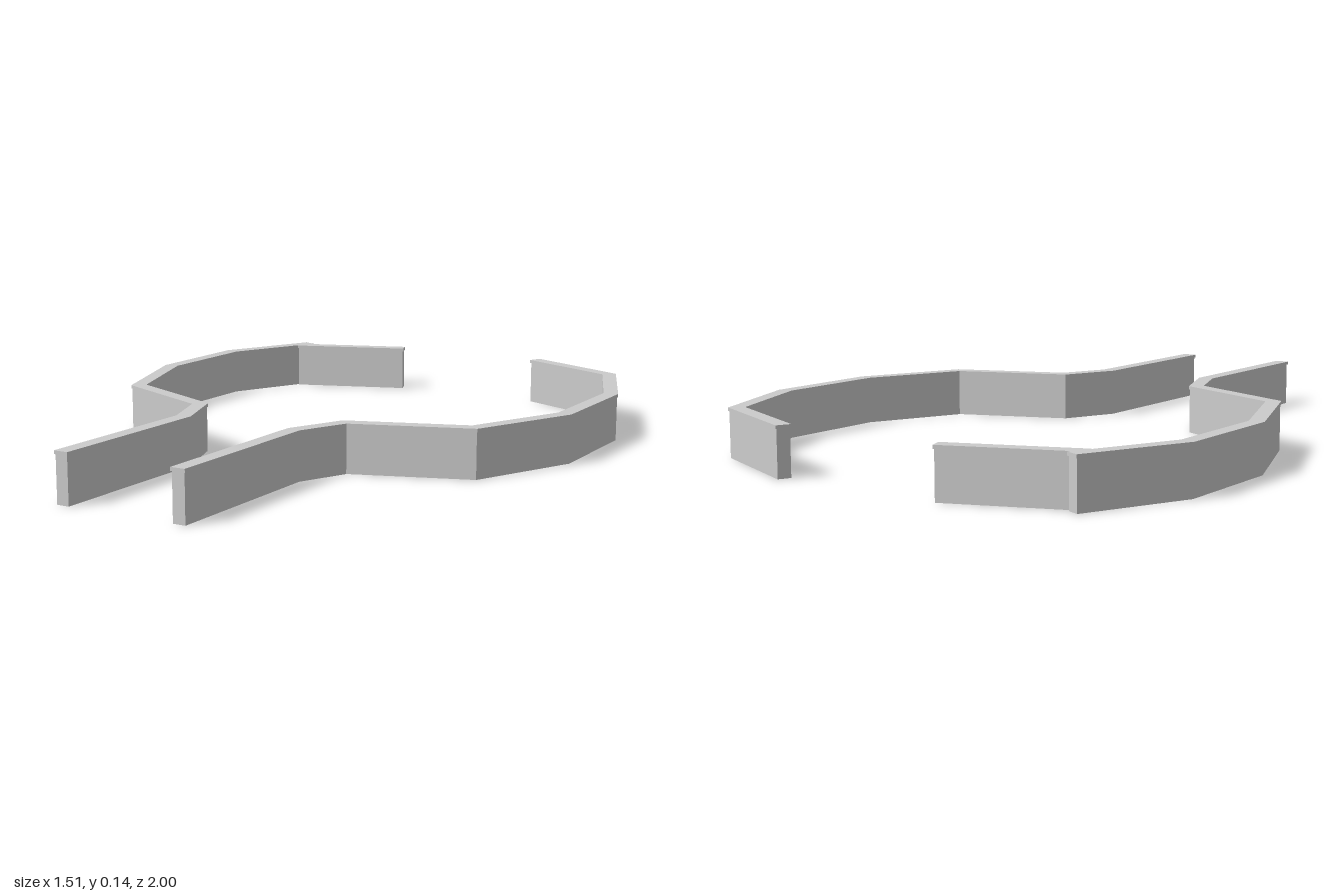
import * as THREE from 'three';

const HEIGHT = 0.145, CAP = 0.01, WIDTH = 0.044, INSET = 0.003;

// Mitred ribbon outline around a centre line of [x, z] points
function ribbon(points, width, trim) {
  const p = points.map(([x, z]) => new THREE.Vector2(x, -z));
  const dirs = p.slice(1).map((q, i) => q.clone().sub(p[i]).normalize());
  const last = p.length - 1;
  p[0].addScaledVector(dirs[0], trim);
  p[last].addScaledVector(dirs[last - 1], -trim);
  const left = [], right = [];
  p.forEach((q, i) => {
    const a = dirs[Math.max(i - 1, 0)], b = dirs[Math.min(i, last - 1)];
    const t = a.clone().add(b).normalize();
    const n = new THREE.Vector2(-t.y, t.x);
    const half = width / 2 / t.dot(a);
    left.push(q.clone().addScaledVector(n, half));
    right.unshift(q.clone().addScaledVector(n, -half));
  });
  return new THREE.Shape([...left, ...right]);
}

function slab(name, shape, y, depth, material) {
  const geo = new THREE.ExtrudeGeometry(shape, { depth, bevelEnabled: false });
  geo.rotateX(-Math.PI / 2).translate(0, y, 0);
  const mesh = new THREE.Mesh(geo, material);
  mesh.name = name;
  return mesh;
}

export function createModel() {
  const model = new THREE.Group();
  model.name = 'walledEnclosure';
  const material = new THREE.MeshStandardMaterial({ color: 0xcccccc, flatShading: true });

  const walls = {
    // Passage wall and curved wall on the right side
    rightWall: [[-0.19, 1], [-0.19, 0.458], [-0.257, 0.28], [-0.603, 0.122],
      [-0.735, -0.235], [-0.735, -0.602], [-0.593, -0.905]],
    // Separate back piece butting against the right wall
    rightBackWall: [[-0.607, -0.851], [-0.24, -0.981]],
    // Passage wall and curved wall on the left side
    leftWall: [[0.179, 1], [0.179, 0.457], [0.249, 0.299], [0.593, 0.178],
      [0.732, -0.13], [0.732, -0.497], [0.6, -0.828], [0.272, -0.98]],
  };

  for (const [name, points] of Object.entries(walls)) {
    const group = new THREE.Group();
    group.name = name;
    // Wall body with a slightly overhanging cap
    group.add(
      slab('wallBody', ribbon(points, WIDTH - 2 * INSET, INSET), 0, HEIGHT - CAP, material),
      slab('wallCap', ribbon(points, WIDTH, 0), HEIGHT - CAP, CAP, material),
    );
    model.add(group);
  }
  return model;
}
